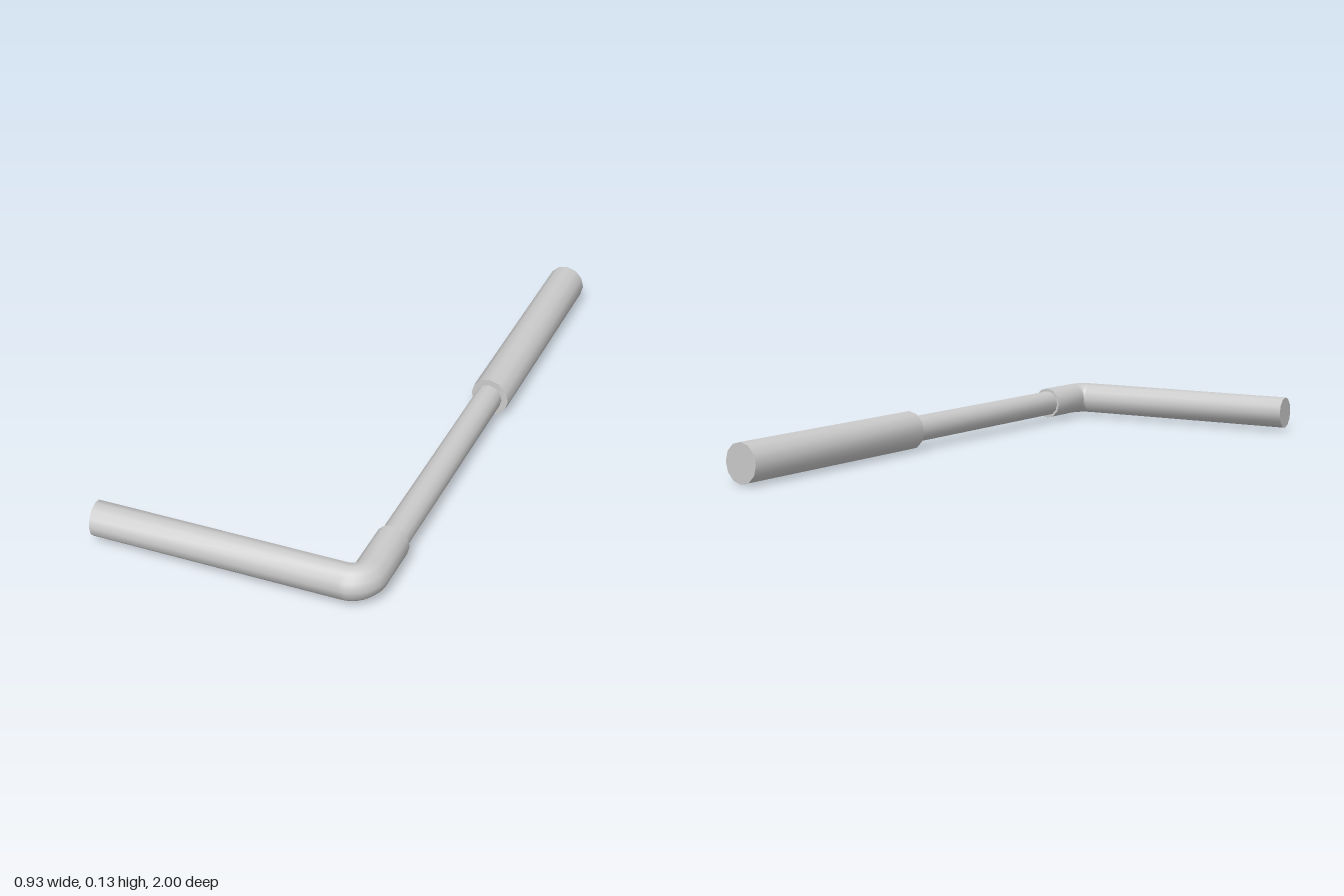
import * as THREE from 'three';

const SIDES = 12, Y = 0.066, X = 0.402;

// Capped round bar swept through stations [x, z, heading, slant];
// heading 0 runs toward +z, heading PI/2 runs toward -x.
function bar(name, radius, stations, material) {
  const pos = [], idx = [];
  const rings = stations.map(([x, z, a, slant = 0]) => {
    const ring = [];
    for (let j = 0; j < SIDES; j++) {
      const t = (j / SIDES) * Math.PI * 2;
      const out = Math.cos(t) * radius, along = out * slant;
      ring.push([
        x + out * Math.cos(a) - along * Math.sin(a),
        Y + Math.sin(t) * radius,
        z + out * Math.sin(a) + along * Math.cos(a),
      ]);
    }
    return ring;
  });
  // side wall
  rings.forEach((ring, i) => {
    ring.forEach((p) => pos.push(...p));
    if (i === rings.length - 1) return;
    for (let j = 0; j < SIDES; j++) {
      const k = (j + 1) % SIDES;
      const a = i * SIDES + j, b = i * SIDES + k;
      idx.push(a, b, a + SIDES, b, b + SIDES, a + SIDES);
    }
  });
  // end caps with their own vertices, so the rims stay crisp
  [[rings[0], true], [rings[rings.length - 1], false]].forEach(([ring, flip]) => {
    const base = pos.length / 3;
    ring.forEach((p) => pos.push(...p));
    for (let j = 1; j < SIDES - 1; j++) {
      idx.push(base, base + (flip ? j + 1 : j), base + (flip ? j : j + 1));
    }
  });
  const geometry = new THREE.BufferGeometry();
  geometry.setAttribute('position', new THREE.Float32BufferAttribute(pos, 3));
  geometry.setIndex(idx);
  geometry.computeVertexNormals();
  const mesh = new THREE.Mesh(geometry, material);
  mesh.name = name;
  return mesh;
}

export function createModel() {
  const group = new THREE.Group();
  group.name = 'crankHandle';
  const material = new THREE.MeshStandardMaterial({ color: 0xcccccc });

  // thick grip at the back, ends cut slightly askew
  group.add(bar('grip', 0.065, [[X, -0.9935, 0, 0.1], [X, -0.147, 0, 0.1]], material));

  // thin rod joining grip and elbow
  group.add(bar('rod', 0.0445, [[X - 0.002, -0.25, 0], [X - 0.002, 0.8, 0]], material));

  // bent arm: short sleeve, tight elbow, long bar toward -x
  const bend = 0.057, cx = X - bend, cz = 0.945 - bend;
  const path = [[X, 0.715, 0, 0.1]];
  for (let i = 0; i <= 8; i++) {
    const a = (i / 8) * Math.PI / 2;
    path.push([cx + bend * Math.cos(a), cz + bend * Math.sin(a), a]);
  }
  path.push([-0.462, 0.945, Math.PI / 2, -0.1]);
  group.add(bar('bentArm', 0.055, path, material));

  return group;
}
